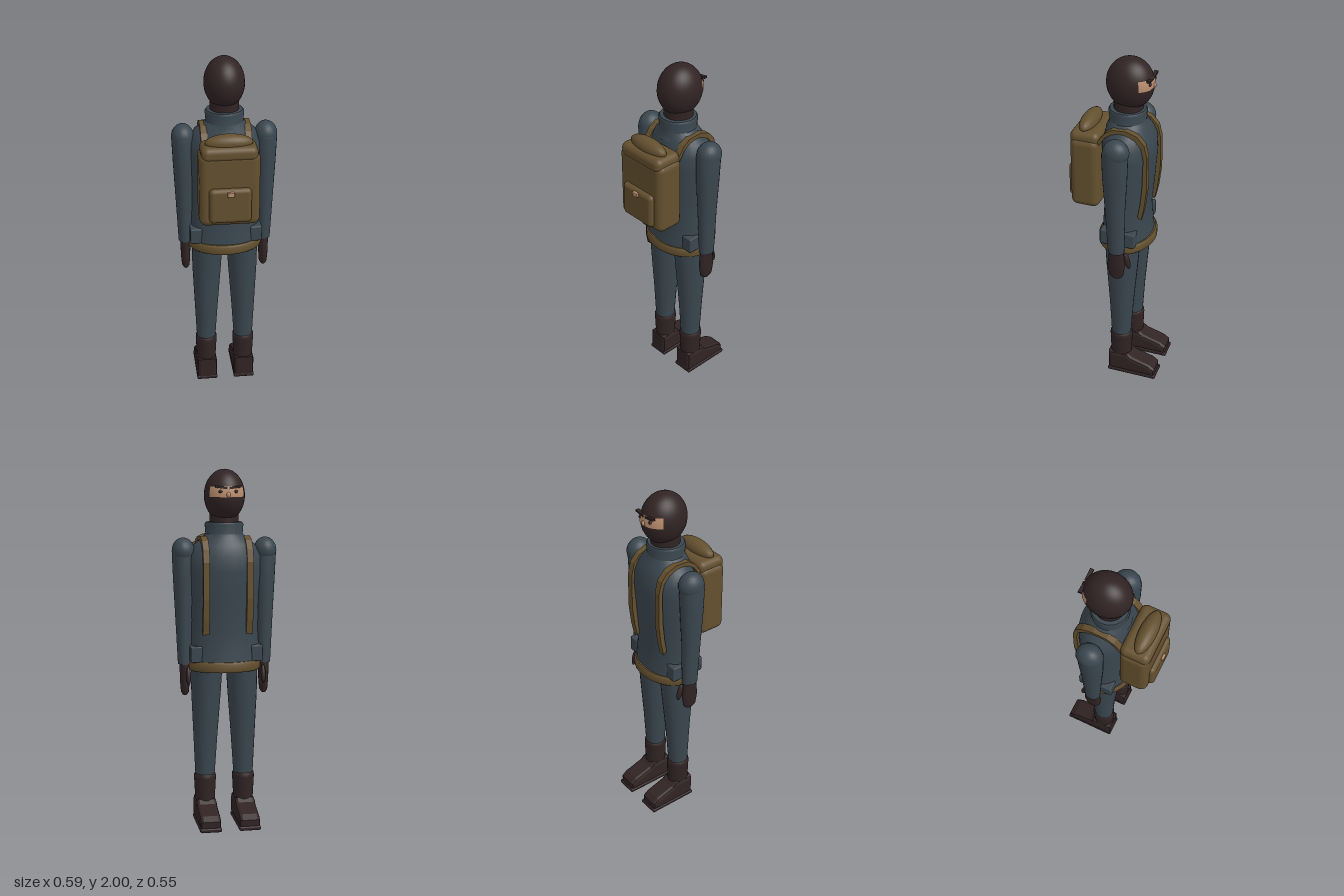
import * as THREE from 'three';
import { RoundedBoxGeometry } from 'three/addons/geometries/RoundedBoxGeometry.js';

const mat = (name, color) => {
  const m = new THREE.MeshStandardMaterial({ color });
  m.name = name;
  return m;
};

// Lofts ellipse rings [y, cx, cz, rx, rz], bottom to top, with flat caps
function loft(rings, n = 24) {
  const pos = [], idx = [];
  const addRing = ([y, cx, cz, rx, rz]) => {
    const start = pos.length / 3;
    for (let j = 0; j < n; j++) {
      const a = (j / n) * Math.PI * 2;
      pos.push(cx + Math.cos(a) * rx, y, cz + Math.sin(a) * rz);
    }
    return start;
  };
  const starts = rings.map(addRing);
  for (let i = 0; i < rings.length - 1; i++) {
    for (let j = 0; j < n; j++) {
      const k = (j + 1) % n;
      const a = starts[i] + j, b = starts[i] + k, c = starts[i + 1] + j, d = starts[i + 1] + k;
      idx.push(a, c, b, b, c, d);
    }
  }
  [[rings[0], false], [rings[rings.length - 1], true]].forEach(([r, top]) => {
    const s = addRing(r), centre = pos.length / 3;
    pos.push(r[1], r[0], r[2]);
    for (let j = 0; j < n; j++) {
      const a = s + j, b = s + ((j + 1) % n);
      if (top) idx.push(centre, b, a);
      else idx.push(centre, a, b);
    }
  });
  const g = new THREE.BufferGeometry();
  g.setAttribute('position', new THREE.Float32BufferAttribute(pos, 3));
  g.setIndex(idx);
  g.computeVertexNormals();
  return g;
}

// Extrudes a side profile of [z, y] points across x, centred on x = 0
function sideExtrude(points, width, bevel) {
  const shape = new THREE.Shape(points.map(([z, y]) => new THREE.Vector2(-z, y)));
  const depth = width - 2 * bevel;
  const g = new THREE.ExtrudeGeometry(shape, {
    depth, bevelEnabled: bevel > 0, bevelSize: bevel, bevelThickness: bevel,
    bevelOffset: -bevel, bevelSegments: 2,
  });
  g.translate(0, 0, -depth / 2);
  g.rotateY(Math.PI / 2);
  return g;
}

const ellipsoid = (rx, ry, rz, w = 24, h = 16) => new THREE.SphereGeometry(1, w, h).scale(rx, ry, rz);

export function createModel() {
  const model = new THREE.Group();
  const cloth = mat('slateCloth', 0x3a464f);
  const dark = mat('darkBrown', 0x312324);
  const canvas = mat('oliveCanvas', 0x64502f);
  const skin = mat('skin', 0xb98d6e);

  const add = (name, geo, material, x = 0, y = 0, z = 0) => {
    const m = new THREE.Mesh(geo, material);
    m.name = name;
    m.position.set(x, y, z);
    model.add(m);
    return m;
  };

  // Head covering with an eye opening
  add('head', ellipsoid(0.112, 0.143, 0.13, 32, 24), dark, 0, 1.857, -0.057);
  const opening = new THREE.SphereGeometry(1, 24, 6, Math.PI * 1.5 - 0.97, 1.94, 1.22, 0.4);
  add('eyeOpening', opening.scale(0.115, 0.146, 0.133), skin, 0, 1.857, -0.057);
  add('nose', ellipsoid(0.012, 0.016, 0.012, 10, 8), skin, 0, 1.862, -0.187);
  add('neck', loft([[1.68, 0, -0.048, 0.08, 0.08], [1.77, 0, -0.048, 0.08, 0.08]]), dark);

  // Jacket, hem and collar
  add('jacket', loft([
    [0.93, 0, -0.05, 0.203, 0.143], [1.0, 0, -0.05, 0.198, 0.135],
    [1.12, 0, -0.05, 0.19, 0.127], [1.3, 0, -0.055, 0.194, 0.138],
    [1.45, 0, -0.057, 0.205, 0.147], [1.53, 0, -0.057, 0.205, 0.142],
    [1.59, 0, -0.052, 0.17, 0.122], [1.63, 0, -0.047, 0.12, 0.105],
    [1.65, 0, -0.045, 0.1, 0.1],
  ], 32), cloth);
  add('hem', loft([
    [0.89, 0, -0.05, 0.2, 0.15], [0.9, 0, -0.05, 0.209, 0.16],
    [0.935, 0, -0.05, 0.209, 0.16], [0.947, 0, -0.05, 0.2, 0.15],
  ], 32), canvas);
  add('collar', loft([
    [1.6, 0, -0.045, 0.122, 0.118], [1.64, 0, -0.045, 0.103, 0.1],
    [1.7, 0, -0.045, 0.108, 0.105], [1.712, 0, -0.045, 0.1, 0.098],
  ]), cloth);

  // Backpack
  add('packBody', new RoundedBoxGeometry(0.33, 0.42, 0.165, 4, 0.04), canvas, 0, 1.345, 0.155);
  add('packLid', new RoundedBoxGeometry(0.305, 0.085, 0.168, 4, 0.035), canvas, 0, 1.548, 0.156);
  add('bedroll', ellipsoid(0.13, 0.047, 0.048), canvas, 0, 1.598, 0.168);
  add('packPocket', new RoundedBoxGeometry(0.23, 0.2, 0.06, 4, 0.025), canvas, 0, 1.264, 0.233);
  add('buckle', new RoundedBoxGeometry(0.038, 0.026, 0.02, 2, 0.004), skin, 0, 1.338, 0.265);

  // Strap side profile: over the shoulder and down the chest
  const outer = [
    [0.08, 1.55], [0.04, 1.605], [0, 1.632], [-0.08, 1.637], [-0.14, 1.615],
    [-0.18, 1.57], [-0.197, 1.5], [-0.199, 1.3], [-0.185, 1.18], [-0.168, 1.1],
  ];
  const centre = new THREE.Vector2(0.03, 1.3);
  const inner = outer.map(([z, y]) => {
    const p = new THREE.Vector2(z, y);
    return p.add(centre.clone().sub(p).setLength(0.028)).toArray();
  }).reverse();
  const strapGeo = sideExtrude([...outer, ...inner], 0.036, 0);

  // Boot side profiles
  const footGeo = sideExtrude([
    [0.018, 0.015], [0.018, 0.14], [-0.1, 0.14], [-0.125, 0.118],
    [-0.235, 0.085], [-0.268, 0.06], [-0.268, 0.015],
  ], 0.12, 0.02);
  const soleGeo = new RoundedBoxGeometry(0.122, 0.024, 0.295, 2, 0.008);

  for (const s of [-1, 1]) {
    const side = s > 0 ? 'left' : 'right';

    // Face details
    add(side + 'Eye', ellipsoid(0.011, 0.009, 0.008, 10, 8), dark, s * 0.042, 1.88, -0.178);
    const brow = add(side + 'Brow', new THREE.BoxGeometry(0.066, 0.011, 0.02), dark, s * 0.038, 1.902, -0.176);
    brow.rotation.z = s * 0.14;

    // Arm and mitten
    add(side + 'Shoulder', ellipsoid(0.063, 0.073, 0.073, 20, 14), cloth, s * 0.23, 1.555, -0.055);
    add(side + 'Sleeve', loft([
      [0.925, s * 0.226, -0.055, 0.037, 0.046], [1.2, s * 0.228, -0.05, 0.048, 0.056],
      [1.4, s * 0.229, -0.049, 0.057, 0.068], [1.545, s * 0.23, -0.05, 0.062, 0.072],
      [1.575, s * 0.23, -0.05, 0.05, 0.06],
    ]), cloth);
    add(side + 'Mitten', loft([
      [0.748, s * 0.225, -0.055, 0.012, 0.022], [0.765, s * 0.225, -0.055, 0.022, 0.04],
      [0.83, s * 0.225, -0.055, 0.027, 0.051], [0.93, s * 0.225, -0.055, 0.029, 0.04],
    ], 18), dark);
    const thumb = add(side + 'Thumb', ellipsoid(0.014, 0.052, 0.017, 12, 10), dark, s * 0.212, 0.865, -0.114);
    thumb.rotation.x = 0.25;

    // Hip pocket and pack strap
    add(side + 'Pocket', new RoundedBoxGeometry(0.066, 0.09, 0.2, 2, 0.008), cloth, s * 0.17, 0.988, -0.05);
    add(side + 'Strap', strapGeo, canvas, s * 0.121);

    // Leg and boot
    add(side + 'Leg', loft([
      [0.25, s * 0.111, -0.047, 0.054, 0.056], [0.5, s * 0.108, -0.048, 0.068, 0.07],
      [0.75, s * 0.104, -0.049, 0.083, 0.09], [0.93, s * 0.1, -0.05, 0.09, 0.102],
    ]), cloth);
    add(side + 'BootShaft', loft([
      [0.09, s * 0.111, -0.048, 0.054, 0.06], [0.26, s * 0.111, -0.048, 0.063, 0.066],
      [0.278, s * 0.111, -0.048, 0.062, 0.065], [0.285, s * 0.111, -0.048, 0.054, 0.058],
    ]), dark);
    add(side + 'Foot', footGeo, dark, s * 0.111);
    add(side + 'Sole', soleGeo, dark, s * 0.111, 0.012, -0.128);
  }
  return model;
}
